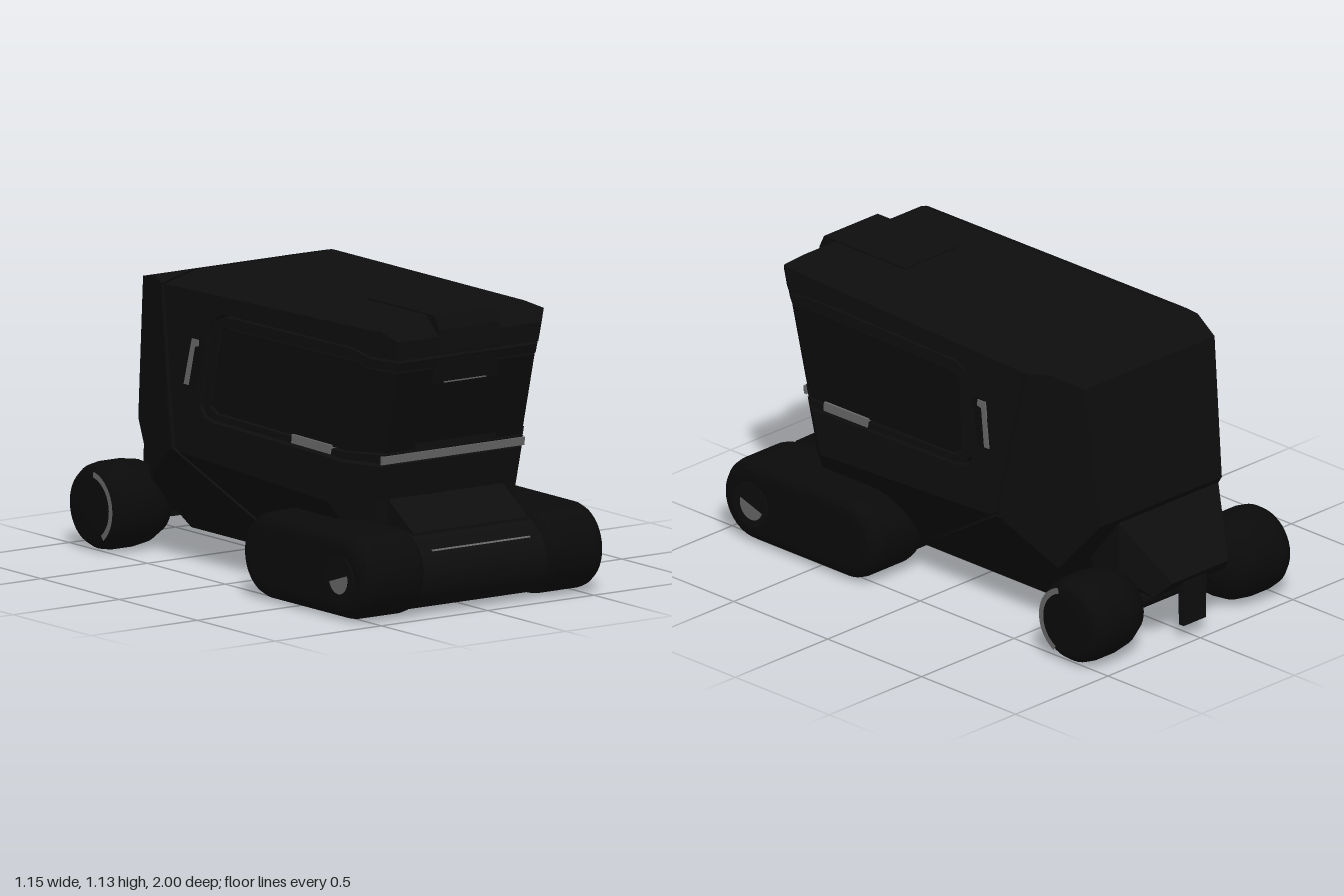
import * as THREE from 'three';

const mat = (name, color) => {
  const m = new THREE.MeshStandardMaterial({ color });
  m.name = name;
  return m;
};

// Half-width of the hull is the smallest of these planes: a + b*z + c*y
const HULL = [
  [0.4877, -0.03, -0.0645],   // upper side
  [0.24, 0, 0.5],             // lower tuck-under
  [2.698, 0, -2.1],           // roof bevel
  [0.614, 0.36, 0],           // rear taper
  [0.8276, -0.8, 0.2056],     // front corner chamfer
];
const FENDER = [[0.851, 0.7, 0], [0.27, 0, 0], [-0.02, 0, 1]];
const flat = (w) => [[w, 0, 0]];

// Keep the part of a polygon where f <= 0
function clip(poly, f) {
  const out = [];
  poly.forEach((p, i) => {
    const q = poly[(i + 1) % poly.length], a = f(p), b = f(q);
    if (a <= 0) out.push(p);
    if ((a < 0 && b > 0) || (a > 0 && b < 0)) {
      const t = a / (a - b);
      out.push([p[0] + (q[0] - p[0]) * t, p[1] + (q[1] - p[1]) * t]);
    }
  });
  return out;
}

// Mirrored solid from a side outline of [z, y] points, its width bounded by planes
function slab(outline, planes = HULL, grow = 0) {
  const pos = [];
  const val = (k, p) => k[0] + k[1] * p[0] + k[2] * p[1];
  planes.forEach((k, i) => {
    let poly = outline;
    planes.forEach((o, j) => {
      if (j !== i) poly = clip(poly, (p) => val(k, p) - val(o, p));
    });
    if (poly.length < 3) return;
    const pts = poly.map((p) => new THREE.Vector2(p[0], p[1]));
    if (THREE.ShapeUtils.isClockWise(pts)) pts.reverse();
    const put = (p, s) => pos.push(s * (val(k, [p.x, p.y]) + grow), p.y, p.x);
    for (const [a, b, c] of THREE.ShapeUtils.triangulateShape(pts, [])) {
      [a, b, c].forEach((n) => put(pts[n], -1));
      [c, b, a].forEach((n) => put(pts[n], 1));
    }
    pts.forEach((p, n) => {
      const q = pts[(n + 1) % pts.length];
      put(p, -1); put(p, 1); put(q, 1);
      put(p, -1); put(q, 1); put(q, -1);
    });
  });
  const g = new THREE.BufferGeometry();
  g.setAttribute('position', new THREE.Float32BufferAttribute(pos, 3));
  g.computeVertexNormals();
  return g;
}

// Stadium in side view, extruded across x with bevelled rims
function stadium(z0, z1, y0, y1, width, bevel) {
  const r = (y1 - y0) / 2 - bevel, cy = (y0 + y1) / 2;
  const s = new THREE.Shape();
  s.absarc(z1 - bevel - r, cy, r, -Math.PI / 2, Math.PI / 2);
  s.absarc(z0 + bevel + r, cy, r, Math.PI / 2, Math.PI * 1.5);
  const depth = width - 2 * bevel;
  return new THREE.ExtrudeGeometry(s, {
    depth, curveSegments: 16, bevelEnabled: bevel > 0,
    bevelSize: bevel, bevelThickness: bevel, bevelSegments: 4,
  }).translate(0, 0, -depth / 2).rotateY(-Math.PI / 2);
}

export function createModel() {
  const model = new THREE.Group();
  const body = mat('body black', 0x0d0d0d);
  const glass = mat('glass black', 0x0b0b0b);
  const rubber = mat('rubber black', 0x0a0a0a);
  const grey = mat('light grey', 0x666666);
  const add = (name, geo, m, parent = model) => {
    const mesh = new THREE.Mesh(geo, m);
    mesh.name = name;
    parent.add(mesh);
    return mesh;
  };

  // Front hull around the window opening
  add('roof', slab([[-0.425, 1.132], [0.8, 1.132], [0.885, 1.06], [0.875, 0.985], [0.68, 1.018],
    [-0.12, 1.018], [-0.18, 0.985], [-0.468, 0.985], [-0.487, 1.08]]), body);
  add('sidePost', slab([[-0.468, 0.985], [-0.18, 0.985], [-0.2, 0.93], [-0.228, 0.65],
    [-0.2, 0.61], [-0.393, 0.61]]), body);
  add('lowerHull', slab([[-0.393, 0.61], [-0.2, 0.61], [-0.15, 0.597], [0.6, 0.575], [0.765, 0.558],
    [0.73, 0.42], [0.7, 0.12], [0.21, 0.12], [-0.365, 0.47]]), body);

  // Rear hull behind the slanted seam
  add('rearHull', slab([[-0.44, 1.13], [-0.73, 1.06], [-0.79, 0.5], [-0.62, 0.29], [-0.57, 0.21],
    [-0.49, 0.12], [0.18, 0.12], [-0.383, 0.465], [-0.503, 1.075]]), body);

  // Wraparound window and its frame
  add('windowFrameTop', slab([[-0.115, 1.008], [0.68, 1.008], [0.872, 0.975], [0.862, 0.94],
    [0.7, 0.97], [-0.1, 0.97]], HULL, -0.004), body);
  add('windowFrameRear', slab([[-0.115, 1.008], [-0.172, 0.978], [-0.19, 0.93], [-0.217, 0.655],
    [-0.19, 0.62], [-0.145, 0.608], [-0.125, 0.631], [-0.172, 0.655], [-0.137, 0.95],
    [-0.1, 0.97]], HULL, -0.004), body);
  add('windowFrameBottom', slab([[-0.145, 0.608], [0.6, 0.586], [0.768, 0.57], [0.778, 0.605],
    [0.6, 0.611], [-0.125, 0.631]], HULL, -0.004), body);
  add('windowPane', slab([[-0.1, 0.963], [0.7, 0.963], [0.858, 0.933], [0.785, 0.612], [0.6, 0.618],
    [-0.12, 0.638], [-0.165, 0.66], [-0.13, 0.945]], HULL, -0.009), glass);

  // Lamps, handles and roof details
  add('sideLamps', slab([[0.34, 0.596], [0.58, 0.59], [0.58, 0.625], [0.34, 0.63]], HULL, 0.001), grey);
  add('handleBases', slab([[-0.215, 0.905], [-0.285, 0.905], [-0.335, 0.71], [-0.265, 0.71]], HULL, 0.003), glass);
  add('handles', slab([[-0.25, 0.9], [-0.29, 0.9], [-0.325, 0.72], [-0.298, 0.72], [-0.272, 0.87],
    [-0.25, 0.875]], HULL, 0.007), grey);
  add('frontLamp', slab([[0.768, 0.568], [0.78, 0.568], [0.784, 0.6], [0.77, 0.6]], flat(0.335)), grey);
  add('frontLampBrow', slab([[0.778, 0.612], [0.795, 0.612], [0.795, 0.635], [0.78, 0.635]], flat(0.19)), body);
  add('sensorBlock', slab([[0.7, 1.137], [0.86, 1.137], [0.885, 1.085], [0.887, 1], [0.7, 1.02]], flat(0.145)), body);
  add('roofHatch', slab([[0.43, 1.13], [0.75, 1.13], [0.75, 1.137], [0.43, 1.137]], flat(0.145)), body);
  add('frontTab', slab([[0.845, 0.965], [0.872, 0.965], [0.853, 0.872], [0.835, 0.872]], flat(0.15)), body);
  add('frontTabLine', slab([[0.84, 0.872], [0.856, 0.872], [0.857, 0.877], [0.84, 0.877]], flat(0.1)), grey);

  // Front undercarriage: centre nose, hood and two track pods
  add('nose', stadium(0.22, 0.985, 0.015, 0.315, 0.6, 0), body);
  add('noseLine', slab([[0.94, 0.252], [0.962, 0.252], [0.959, 0.257], [0.94, 0.257]], flat(0.23)), grey);
  add('hood', slab([[0.5, 0.42], [0.73, 0.42], [0.89, 0.315], [0.89, 0.2], [0.5, 0.2]], flat(0.27)), body);
  for (const s of [1, -1]) {
    const pod = new THREE.Group();
    pod.name = s > 0 ? 'leftTrackPod' : 'rightTrackPod';
    pod.position.x = s * 0.42;
    model.add(pod);
    add('track', stadium(0.18, 1, 0.005, 0.34, 0.3, 0.06), rubber, pod);
    const hub = new THREE.CylinderGeometry(0.09, 0.09, 0.01, 32).rotateZ(Math.PI / 2);
    add('hub', hub, body, pod).position.set(s * 0.149, 0.165, 0.83);
    const lens = new THREE.CircleGeometry(0.06, 24, Math.PI * (s > 0 ? 0.9 : 1.1), Math.PI)
      .rotateY(s * Math.PI / 2);
    add('hubLens', lens, grey, pod).position.set(s * 0.1555, 0.165, 0.825);
  }

  // Rear wheels, axle and suspension arm
  const profile = [[0, 0.2], [0.07, 0.21], [0.13, 0.25], [0.16, 0.31], [0.17, 0.38], [0.17, 0.46],
    [0.163, 0.5], [0.145, 0.527], [0.12, 0.537], [0, 0.537]].map((p) => new THREE.Vector2(...p));
  const tyre = new THREE.LatheGeometry(profile, 40).rotateZ(-Math.PI / 2);
  for (const s of [1, -1]) {
    const wheel = new THREE.Group();
    wheel.name = s > 0 ? 'leftRearWheel' : 'rightRearWheel';
    wheel.position.set(0, 0.172, -0.815);
    wheel.rotation.y = s > 0 ? 0 : Math.PI;
    model.add(wheel);
    add('tyre', tyre, rubber, wheel);
    const arc = new THREE.RingGeometry(0.121, 0.144, 24, 1, s > 0 ? Math.PI * 0.6 : -Math.PI * 0.3, Math.PI * 0.75)
      .rotateY(Math.PI / 2);
    add('wheelArc', arc, grey, wheel).position.x = 0.539;
  }
  add('rearAxle', new THREE.CylinderGeometry(0.055, 0.055, 0.5, 20).rotateZ(Math.PI / 2), body)
    .position.set(0, 0.172, -0.815);
  add('rearArm', slab([[-0.5, 0.25], [-0.6, 0.24], [-0.8, 0.23], [-0.8, 0.12], [-0.55, 0.2]], flat(0.1)), body);

  // Rear fender with a hanging fin
  add('rearFender', slab([[-0.83, 0.51], [-1, 0.275], [-0.94, 0.21], [-0.74, 0.21], [-0.68, 0.32]], FENDER), body);
  add('rearFin', slab([[-0.94, 0.27], [-0.975, 0.27], [-0.97, 0.06], [-0.945, 0.06]], flat(0.06)), body);

  return model;
}
